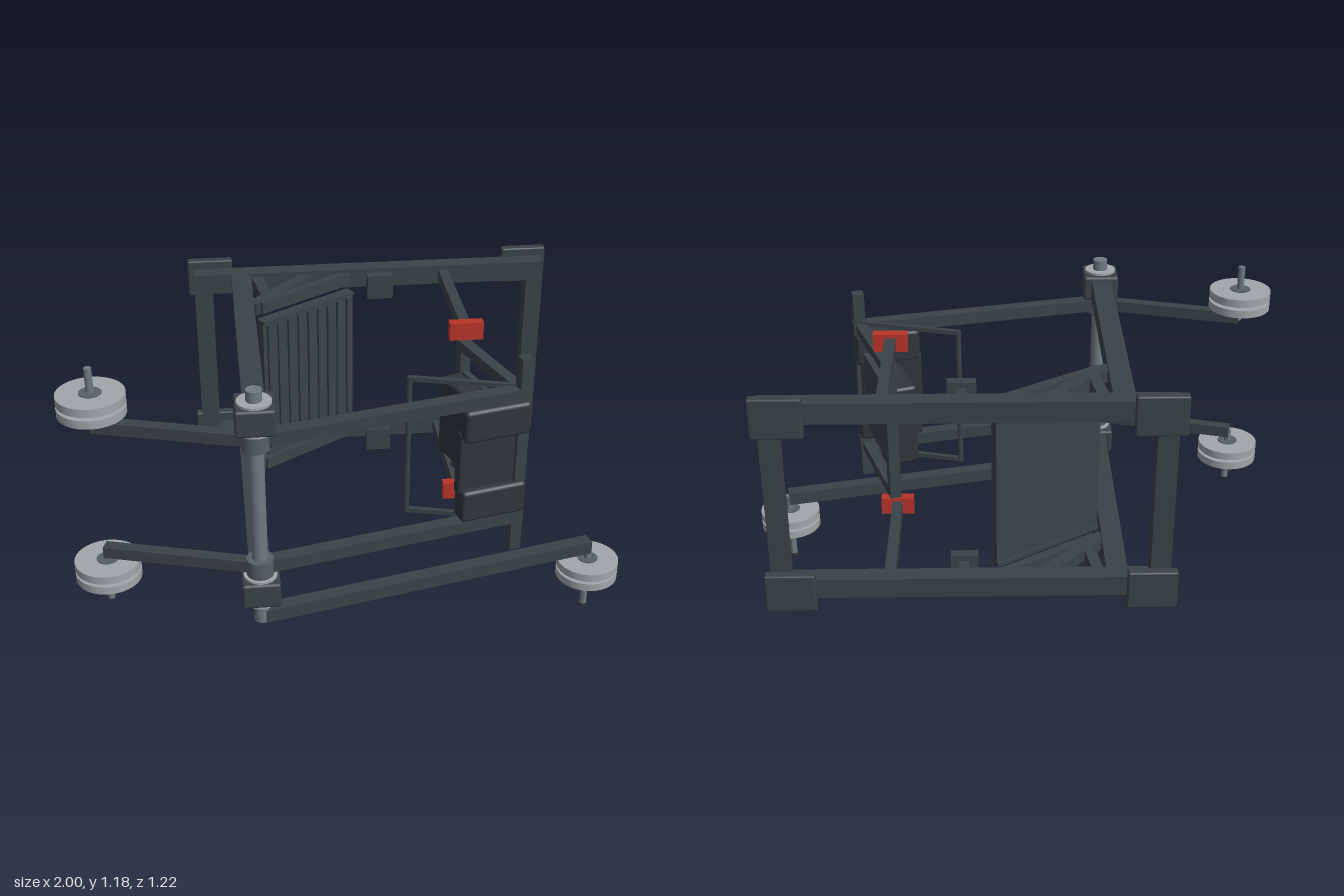
import * as THREE from 'three';
import { RoundedBoxGeometry } from 'three/addons/geometries/RoundedBoxGeometry.js';

export function createModel() {
  const root = new THREE.Group();
  root.name = 'legPressMachine';
  const mat = (name, color) => Object.assign(new THREE.MeshStandardMaterial({ color }), { name });
  const frame = mat('frame charcoal', 0x3a4348);
  const pad = mat('upholstery black', 0x2f3639);
  const steel = mat('pivot steel', 0x6f7a82);
  const dull = mat('collar grey', 0x566067);
  const disc = mat('weight plate grey', 0xa0a6a9);
  const red = mat('stop red', 0xb8352a);

  const add = (name, geo, material, x, y, z, ry = 0) => {
    const m = new THREE.Mesh(geo, material);
    m.name = name;
    m.position.set(x, y, z);
    m.rotation.y = ry;
    root.add(m);
    return m;
  };
  // Axis-aligned box given by its extents
  const span = (name, material, x0, x1, y0, y1, z0, z1) =>
    add(name, new THREE.BoxGeometry(x1 - x0, y1 - y0, z1 - z0), material, (x0 + x1) / 2, (y0 + y1) / 2, (z0 + z1) / 2);
  // Horizontal beam between two [x, z] points
  const beam = (name, material, a, b, y, width, height, round = 0) => {
    const dx = b[0] - a[0], dz = b[1] - a[1], len = Math.hypot(dx, dz);
    const geo = round ? new RoundedBoxGeometry(len, height, width, 2, round) : new THREE.BoxGeometry(len, height, width);
    return add(name, geo, material, (a[0] + b[0]) / 2, y, (a[1] + b[1]) / 2, Math.atan2(-dz, dx));
  };
  // Upright cylinder between two heights
  const rod = (name, material, x, z, r, y0, y1, sides = 24) =>
    add(name, new THREE.CylinderGeometry(r, r, y1 - y0, sides), material, x, (y0 + y1) / 2, z);

  const pivot = [-0.36, 0.545];
  const armTilt = Math.atan2(0.225, 0.93);

  // Rear frame uprights
  span('rearUpright', frame, -0.54, -0.47, 0.36, 1.1, -0.575, -0.51);
  span('rearUpright', frame, 0.76, 0.825, 0.36, 1.1, -0.575, -0.51);

  // Parts repeated on the lower and upper rails
  for (const y of [0.393, 1.065]) {
    span('rearRail', frame, -0.535, 0.825, y - 0.037, y + 0.037, -0.576, -0.509);
    for (const x of [-0.477, 0.758])
      add('footPlate', new RoundedBoxGeometry(0.172, 0.142, 0.037, 2, 0.006), frame, x, y + (y < 0.7 ? 0.003 : -0.002), -0.593);

    // Side rail with its pivot housing
    span('sideRail', frame, -0.397, -0.323, y - 0.037, y + 0.037, -0.52, 0.48);
    add('pivotHousing', new RoundedBoxGeometry(0.132, 0.096, 0.14, 2, 0.01), frame, -0.36, y, 0.54);
    rod('pivotWasher', disc, ...pivot, 0.058, y - 0.056, y + 0.056, 28);

    // Carriage stop
    span('stopBar', frame, 0.407, 0.445, y - 0.021, y + 0.021, -0.51, -0.03);
    span('stopBlock', red, 0.365, 0.487, y - 0.033, y + 0.033, -0.028, 0.01);

    // Short peg with end plate
    span('pegStem', frame, 0.15, 0.185, y - 0.025, y + 0.025, -0.51, -0.44);
    span('pegPlate', frame, 0.119, 0.216, y - 0.046, y + 0.046, -0.449, -0.411);

    // Struts that hold the foot platform
    beam('platformStrut', frame, [-0.33, -0.27], [-0.1, -0.52], y, 0.045, 0.045);
    beam('platformBrace', frame, [-0.3, -0.52], [-0.265, -0.3], y, 0.04, 0.045);
    beam('platformEdge', frame, [-0.3, -0.28], [0.05, -0.515], y, 0.035, 0.045);
  }

  // Foot platform with upright ribs
  const p0 = [-0.3, -0.268], p1 = [0.063, -0.513];
  beam('footPlatform', frame, p0, p1, 0.73, 0.028, 0.565);
  const pl = Math.hypot(p1[0] - p0[0], p1[1] - p0[1]);
  const px = (p1[0] - p0[0]) / pl, pz = (p1[1] - p0[1]) / pl;
  for (let i = 0; i < 9; i++) {
    const t = pl * (0.06 + 0.88 * i / 8);
    add('platformRib', new THREE.BoxGeometry(0.018, 0.53, 0.012), frame,
      p0[0] + px * t - pz * 0.018, 0.73, p0[1] + pz * t + px * 0.018, Math.atan2(-pz, px));
  }
  for (const y of [0.452, 1.008]) beam('platformRim', frame, p0, p1, y, 0.045, 0.014);

  // Pivot shaft and collars
  rod('pivotShaft', steel, ...pivot, 0.027, 0.255, 1.16);
  for (const y of [0.478, 0.978]) rod('pivotCollar', dull, ...pivot, 0.047, y - 0.035, y + 0.035);

  // Weight plates stacked on a peg
  const weights = (x, z, y, y0, y1) => {
    rod('weightPeg', steel, x, z, 0.013, y0, y1, 16);
    for (const s of [-1, 1]) {
      rod('weightPlate', disc, x, z, 0.115, y + s * 0.021 - 0.015, y + s * 0.021 + 0.015, 40);
      rod('weightHub', dull, x, z, 0.038, y + s * 0.037 - 0.002, y + s * 0.037 + 0.002);
    }
    rod('weightSpacer', disc, x, z, 0.04, y - 0.01, y + 0.01);
  };

  // Carriage arms with weights at the short end
  for (const [y, wy, y0, y1] of [[0.978, 1.058, 0.97, 1.185], [0.482, 0.405, 0.275, 0.49]]) {
    beam('weightArm', frame, pivot, [-0.89, 0.395], y, 0.043, 0.042);
    beam('carriageArm', frame, pivot, [0.59, 0.318], y, 0.05, 0.046);
    weights(-0.885, 0.39, wy, y0, y1);
  }

  // Lower counterweight arm
  beam('counterArm', frame, [-0.365, 0.546], [0.88, 0.25], 0.276, 0.052, 0.05);
  weights(0.88, 0.255, 0.182, 0, 0.28);
  rod('pegCap', pad, 0.88, 0.255, 0.018, 0, 0.012, 16);

  // Carriage post and U-shaped seat frame
  add('carriagePost', new THREE.BoxGeometry(0.042, 0.77, 0.042), frame, 0.568, 0.73, 0.328, armTilt);
  const u0 = [0.56, 0.31], u1 = [0.425, -0.08];
  for (const y of [0.478, 0.98]) beam('seatFrameArm', frame, u0, u1, y, 0.042, 0.036);
  add('seatFrameBar', new THREE.BoxGeometry(0.036, 0.53, 0.042), frame, 0.432, 0.729, -0.065, Math.atan2(0.39, -0.135));

  // Seat board and pad
  beam('seatBoard', frame, [0.555, 0.325], [0.435, -0.035], 0.73, 0.025, 0.31);
  beam('seatPad', pad, [0.5, 0.305], [0.378, -0.02], 0.73, 0.085, 0.31, 0.012);

  // Shoulder pads and the head pad between them
  for (const y of [0.573, 0.893])
    add('shoulderPad', new RoundedBoxGeometry(0.245, 0.124, 0.078, 2, 0.014), pad, 0.468, y, 0.347, armTilt);
  add('headPad', new RoundedBoxGeometry(0.235, 0.25, 0.045, 2, 0.01), pad, 0.455, 0.733, 0.336, armTilt);

  // Release handle
  const h = [0.19, 0.217];
  rod('handleRod', frame, ...h, 0.01, 0.452, 1.005, 12);
  for (const y of [0.46, 0.998]) beam('handleArm', frame, h, [0.565, 0.315], y, 0.018, 0.016);

  return root;
}
